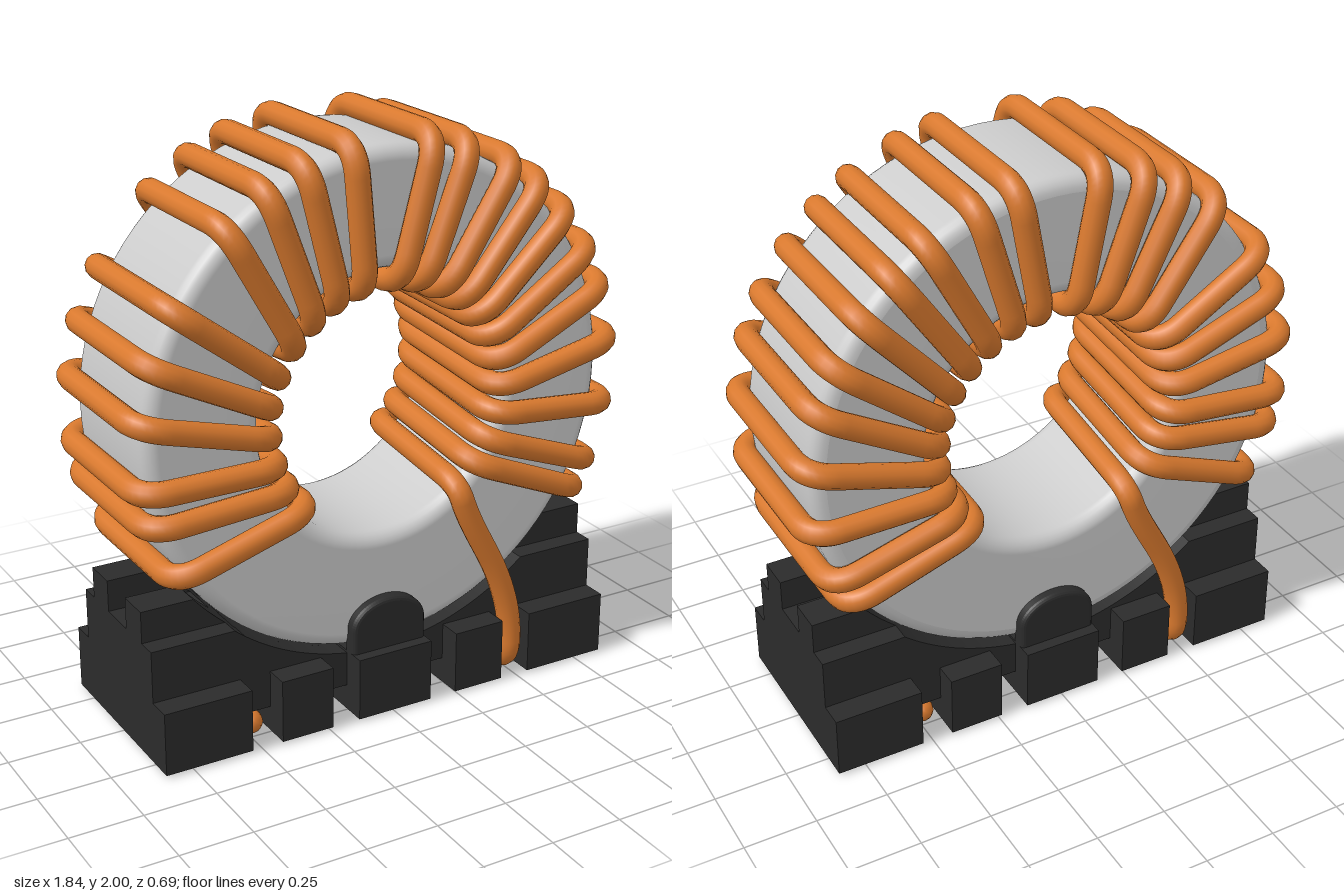
import * as THREE from 'three';

const CY = 1.08;                 // height of the ring's centre
const WIRE = 0.041, IN = 0.41, OUT = 0.885, FACE = 0.305;
const mat = (color) => new THREE.MeshStandardMaterial({ color });
const grey = mat(0xcccccc), dark = mat(0x2b2b2b), copper = mat(0xd9792e);

function add(group, name, geometry, material) {
  const mesh = new THREE.Mesh(geometry, material);
  mesh.name = name;
  group.add(mesh);
  return mesh;
}

// Polyline with its corners rounded off
function roundedPath(points, radius) {
  const path = new THREE.CurvePath();
  let last = points[0];
  for (let i = 1; i < points.length - 1; i++) {
    const p = points[i];
    const toward = (q) => {
      const d = q.clone().sub(p);
      return p.clone().addScaledVector(d, Math.min(radius / d.length(), 0.48));
    };
    const a = toward(points[i - 1]), b = toward(points[i + 1]);
    path.add(new THREE.LineCurve3(last, a));
    path.add(new THREE.QuadraticBezierCurve3(a, p, b));
    last = b;
  }
  path.add(new THREE.LineCurve3(last, points[points.length - 1]));
  path.arcLengthDivisions = 3000;
  return path;
}

// Point on the ring at an angle in degrees
function polar(deg, r, z) {
  const a = THREE.MathUtils.degToRad(deg);
  return new THREE.Vector3(r * Math.cos(a), CY + r * Math.sin(a), z);
}

// One half coil: foot under the base, lead up the front, then turns round the ring
function makeWinding(name, outerAngles, step) {
  const start = -51, lean = 7;
  const pts = [
    [0.485, 0.041, -0.22], [0.485, 0.041, FACE], [0.485, 0.22, FACE],
    [0.43, 0.4, FACE], [0.3, 0.64, FACE],
  ].map((p) => new THREE.Vector3(...p));
  pts.push(polar(start, IN, FACE));
  outerAngles.forEach((angle, k) => {
    pts.push(
      polar(start + step * k + lean, IN, -FACE),
      polar(angle, OUT, -FACE),
      polar(angle, OUT, FACE),
      polar(start + step * (k + 1), IN, FACE),
    );
  });
  pts.push(polar(start + step * outerAngles.length + 2, IN, 0.05));

  const group = new THREE.Group();
  group.name = name;
  add(group, 'wire', new THREE.TubeGeometry(roundedPath(pts, 0.1), 1400, WIRE, 12), copper);
  for (const p of [pts[0], pts[pts.length - 1]]) {
    add(group, 'wireEnd', new THREE.SphereGeometry(WIRE, 12, 8), copper).position.copy(p);
  }
  return group;
}

// Ring core: rounded rectangle turned about the z axis
function coreGeometry() {
  const r0 = 0.45, r1 = 0.85, h = 0.265, c = 0.05, profile = [];
  const corners = [[r1 - c, -h + c, -90], [r1 - c, h - c, 0], [r0 + c, h - c, 90], [r0 + c, -h + c, 180]];
  for (const [x, y, from] of corners) {
    for (let i = 0; i <= 5; i++) {
      const a = THREE.MathUtils.degToRad(from + 18 * i);
      profile.push(new THREE.Vector2(x + c * Math.cos(a), y + c * Math.sin(a)));
    }
  }
  profile.push(profile[0].clone());
  return new THREE.LatheGeometry(profile, 96).rotateX(Math.PI / 2).translate(0, CY, 0);
}

// Saddle slice: slab hollowed by the ring's circle, from z0 to z1
function saddleGeometry(top, z0, z1) {
  const R = 0.87, a = Math.asin((top - CY) / R);
  const s = new THREE.Shape();
  s.moveTo(-0.85, 0.1);
  s.lineTo(0.85, 0.1);
  s.lineTo(0.85, top);
  s.absarc(0, CY, R, a, -Math.PI - a, true);
  s.lineTo(-0.85, top);
  s.closePath();
  return new THREE.ExtrudeGeometry(s, { depth: z1 - z0, bevelEnabled: false, curveSegments: 40 })
    .translate(0, 0, z0);
}

// Round-topped tab holding the ring's face
function tabGeometry() {
  const s = new THREE.Shape();
  s.moveTo(-0.125, 0.2);
  s.lineTo(0.125, 0.2);
  s.lineTo(0.125, 0.31);
  s.absellipse(0, 0.31, 0.125, 0.085, 0, Math.PI, false);
  s.closePath();
  return new THREE.ExtrudeGeometry(s, {
    depth: 0.03, bevelSize: 0.015, bevelThickness: 0.015, bevelSegments: 3, curveSegments: 20,
  }).translate(0, 0, 0.26);
}

export function createModel() {
  const model = new THREE.Group();
  model.name = 'toroidalInductor';

  add(model, 'core', coreGeometry(), grey);

  // Base: saddle, raised ribs and feet separated by channels
  const base = new THREE.Group();
  base.name = 'base';
  model.add(base);
  add(base, 'saddle', saddleGeometry(0.41, -0.26, 0.26), dark);
  add(base, 'frontRib', saddleGeometry(0.52, 0.07, 0.19), dark);
  add(base, 'backRib', saddleGeometry(0.52, -0.19, -0.07), dark);
  for (const [x0, x1] of [[-0.85, -0.54], [-0.43, -0.24], [-0.14, 0.14], [0.24, 0.43], [0.54, 0.85]]) {
    const foot = new THREE.BoxGeometry(x1 - x0, 0.22, 0.69).translate((x0 + x1) / 2, 0.12, 0);
    add(base, 'foot', foot, dark);
  }
  add(base, 'frontTab', tabGeometry(), dark);
  add(base, 'backTab', tabGeometry(), dark).rotation.y = Math.PI;

  // Two coils, the second turned half way round
  model.add(makeWinding('leftWinding', [-30, -23, -9, 6, 19, 29, 40, 50, 59, 71, 80], 12.45));
  const other = makeWinding('rightWinding', [-29, -16, -8, 6.5, 18.5, 30.5, 49.5, 60.5, 70, 81], 13.4);
  other.rotation.y = Math.PI;
  model.add(other);

  return model;
}
